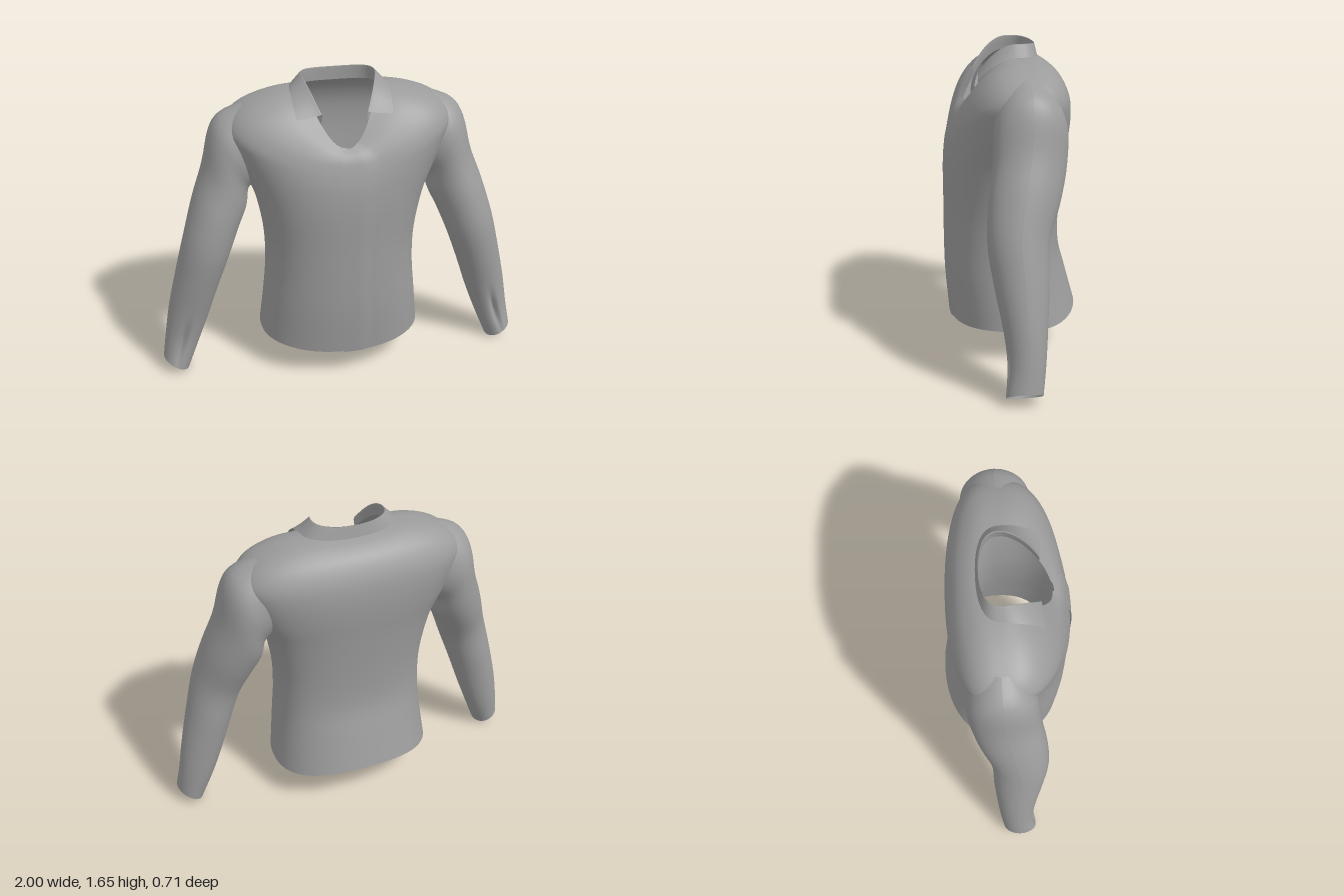
import * as THREE from 'three';

const fabric = new THREE.MeshStandardMaterial({ color: 0x9c9c9c, side: THREE.DoubleSide });
fabric.name = 'grey fabric';

const rad = THREE.MathUtils.degToRad;
const spow = (v, e) => Math.sign(v) * Math.pow(Math.abs(v), e);

// Smooth Catmull-Rom reading of a table of cross-sections at fractional row t
function sample(table, t) {
  const n = table.length - 1;
  const i = Math.min(Math.floor(t), n - 1), f = t - i;
  const row = k => table[Math.min(Math.max(k, 0), n)];
  const [a, b, c, d] = [row(i - 1), row(i), row(i + 1), row(i + 2)];
  return b.map((p1, k) => {
    const m1 = (c[k] - a[k]) / 2, m2 = (d[k] - p1) / 2, g = c[k] - p1;
    return p1 + f * (m1 + f * (3 * g - 2 * m1 - m2 + f * (m1 + m2 - 2 * g)));
  });
}

// Surface from point(u, v) with u running round and v running along, both 0..1
function surface(name, point, nu, nv, flip = false) {
  const pos = [], index = [];
  for (let i = 0; i <= nv; i++) {
    for (let j = 0; j <= nu; j++) {
      pos.push(...point(j / nu, i / nv));
      if (i === nv || j === nu) continue;
      const a = i * (nu + 1) + j, b = a + 1, c = a + nu + 1, d = c + 1;
      if (flip) index.push(a, b, c, b, d, c);
      else index.push(a, c, b, b, c, d);
    }
  }
  const geo = new THREE.BufferGeometry();
  geo.setAttribute('position', new THREE.Float32BufferAttribute(pos, 3));
  geo.setIndex(index);
  geo.computeVertexNormals();
  const mesh = new THREE.Mesh(geo, fabric);
  mesh.name = name;
  return mesh;
}

// Torso rings: half width, side z, front z, back z, side y, front y, back y, front and back roundness
const TORSO = [
  [0.445, -0.02, 0.33, -0.345, 0.19, 0.165, 0.24, 0.8, 0.9],
  [0.42, 0, 0.35, -0.29, 0.42, 0.4, 0.44, 0.8, 0.9],
  [0.405, 0, 0.355, -0.25, 0.6, 0.6, 0.6, 0.8, 0.8],
  [0.41, 0, 0.355, -0.25, 0.8, 0.8, 0.8, 0.8, 0.75],
  [0.455, 0, 0.355, -0.27, 1.03, 1.0, 1.03, 0.8, 0.7],
  [0.52, -0.02, 0.345, -0.29, 1.18, 1.13, 1.2, 0.8, 0.7],
  [0.58, -0.03, 0.33, -0.295, 1.32, 1.2, 1.32, 0.8, 0.7],
  [0.6, -0.03, 0.315, -0.28, 1.42, 1.25, 1.42, 0.8, 0.7],
  [0.52, -0.03, 0.3, -0.235, 1.51, 1.29, 1.51, 0.85, 0.7],
  [0.36, -0.03, 0.28, -0.175, 1.57, 1.32, 1.56, 1, 0.7],
  [0.2, 0, 0.25, -0.12, 1.59, 1.345, 1.58, 1.5, 0.7],
];
const NECK = TORSO.length - 1;

function torsoPoint(angle, t) {
  const [w, zs, zf, zb, ys, yf, yb, ef, eb] = sample(TORSO, t);
  const c = Math.cos(angle), s = Math.sin(angle);
  const k = Math.abs(s) ** 3;
  const z = s > 0 ? zs + (zf - zs) * s ** ef : zs + (zb - zs) * (-s) ** eb;
  return [w * spow(c, 0.9), ys + ((s > 0 ? yf : yb) - ys) * k, z];
}

// The left front edge laps a little over the right one
function shell(u, v) {
  const deg = 90 + 363 * u;
  const p = torsoPoint(rad(deg), v * NECK);
  if (deg > 440) p[2] += 0.008;
  return p;
}

// Sleeve rings: outer x, outer y, inner x, inner y, front z, back z
const SLEEVE = [
  [0.5, 1.525, 0.42, 1.1, 0.14, -0.19],
  [0.62, 1.47, 0.46, 1.08, 0.16, -0.205],
  [0.68, 1.38, 0.485, 1.05, 0.165, -0.205],
  [0.725, 1.2, 0.5, 0.96, 0.18, -0.19],
  [0.79, 1.02, 0.55, 0.85, 0.205, -0.15],
  [0.85, 0.82, 0.61, 0.7, 0.215, -0.09],
  [0.9, 0.62, 0.675, 0.52, 0.19, -0.08],
  [0.95, 0.4, 0.735, 0.34, 0.155, -0.065],
  [0.98, 0.22, 0.795, 0.18, 0.14, -0.05],
  [1.0, 0.09, 0.865, 0.01, 0.155, -0.03],
];

function sleevePoint(u, v) {
  const t = v * (SLEEVE.length - 1), a = u * Math.PI * 2;
  const [xo, yo, xi, yi, zf, zb] = sample(SLEEVE, t);
  // A pleat is pressed into the front just above the cuff
  const pleat = 1 - 0.35 * Math.exp(-(((a - 1.5) / 0.15) ** 2) - ((t - 8) / 0.6) ** 2);
  const c = Math.cos(a) * pleat, s = Math.sin(a) * pleat;
  return [
    (xo + xi) / 2 + (xo - xi) / 2 * c,
    (yo + yi) / 2 + (yo - yi) / 2 * c,
    (zf + zb) / 2 + (zf - zb) / 2 * s,
  ];
}

// Collar: stands up from the neckline, folds over and lies down to two front points
function collarPoint(u, v) {
  const s = 2 * u - 1, k = Math.abs(s) ** 6;
  const base = torsoPoint(rad(-90 + 145 * s), NECK);
  const edge = torsoPoint(rad(-90 + 136 * s), NECK - 0.36 - 0.55 * k);
  edge[1] += 0.014;
  edge[2] += 0.008 * k;
  const top = [base[0] * 0.96, base[1] + 0.068 - 0.015 * k, base[2]];
  const fold = top.map((p, i) => p + (edge[i] - p) * 0.2);
  fold[1] = top[1] - 0.004;
  return sample([base, top, fold, edge], v * 3);
}

export function createModel() {
  const shirt = new THREE.Group();
  shirt.name = 'shirt';
  shirt.add(surface('torso', shell, 96, 40));

  const left = surface('leftSleeve', sleevePoint, 48, 36);
  const right = left.clone();
  right.name = 'rightSleeve';
  right.scale.x = -1;
  shirt.add(left, right);

  shirt.add(surface('collar', collarPoint, 60, 9, true));
  return shirt;
}
